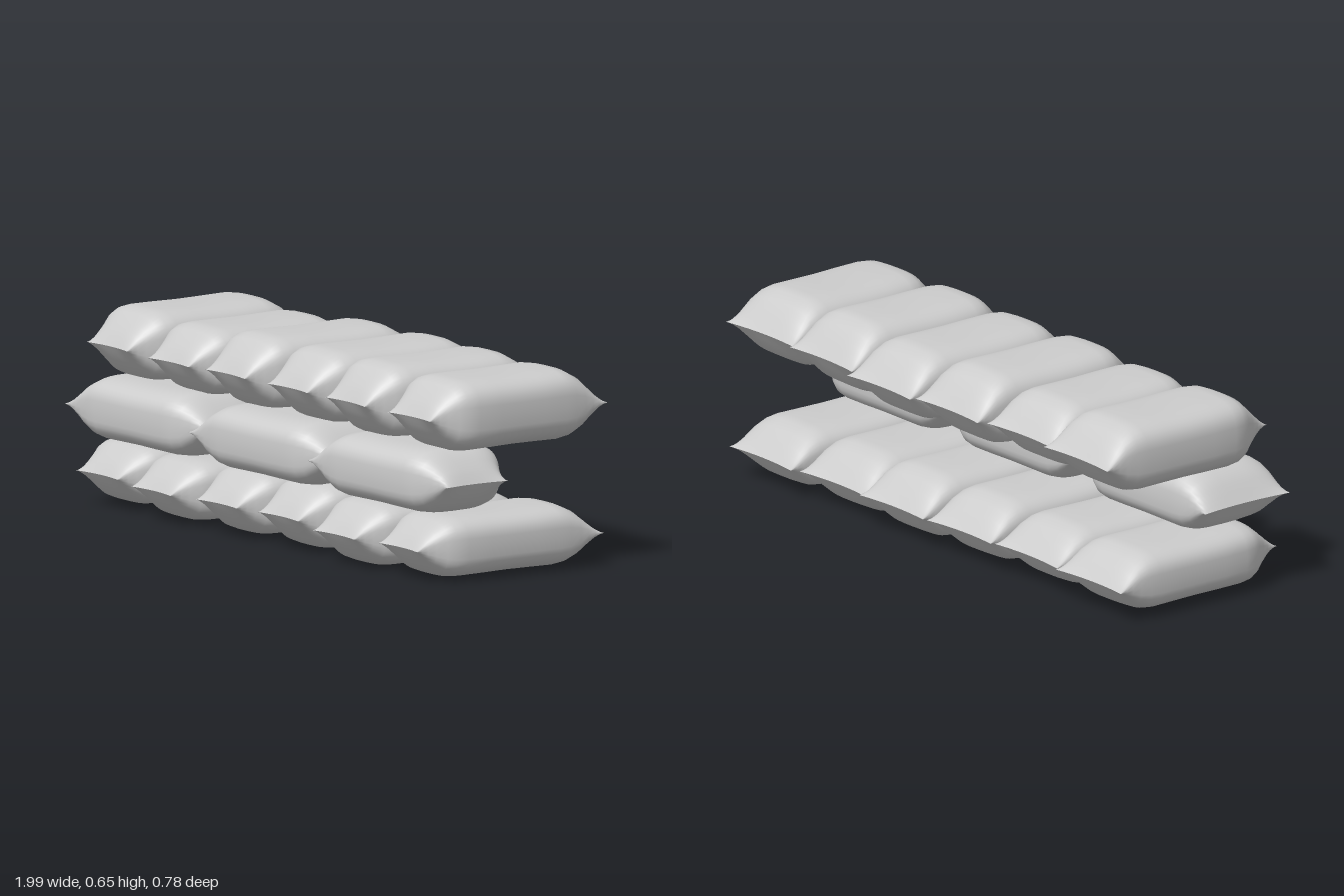
import * as THREE from 'three';

// Bag profile along its length: [position, half width factor, half height factor]
const STATIONS = [
  [0.345, 0.66, 0], [0.337, 0.65, 0.09], [0.322, 0.65, 0.27], [0.305, 0.68, 0.44], [0.28, 0.75, 0.65],
  [0.25, 0.86, 0.86], [0.22, 0.94, 0.97], [0.18, 0.985, 1], [0.09, 1, 0.99], [0, 1, 0.975],
  [-0.09, 1, 0.985], [-0.18, 0.995, 1], [-0.22, 0.98, 0.95], [-0.26, 0.96, 0.77], [-0.29, 0.945, 0.53],
  [-0.315, 0.94, 0.29], [-0.332, 0.95, 0.12], [-0.345, 0.97, 0],
];
const SIDES = 40;

// Filled sack: rounded-box sections pinched to a narrow seam at +z and a wide seam at -z
function bagGeometry(width, height, length) {
  const positions = [], index = [];
  for (const [s, fw, fh] of STATIONS) {
    const end = Math.max(0, Math.abs(s) - 0.25) / 0.095;
    const power = 2 / (3.3 - 0.8 * end);
    for (let j = 0; j < SIDES; j++) {
      const a = (j / SIDES) * Math.PI * 2;
      const c = Math.cos(a), n = Math.sin(a);
      const u = Math.sign(c) * Math.abs(c) ** power;
      const v = Math.sign(n) * Math.abs(n) ** power;
      // seam corners reach slightly further than the seam middle
      const flare = Math.sign(s) * end * 0.012 * (u * u - 0.7);
      positions.push(u * fw * width / 2, v * fh * height / 2, s * length / 0.69 + flare);
    }
  }
  for (let i = 0; i < STATIONS.length - 1; i++) {
    for (let j = 0; j < SIDES; j++) {
      const k = (j + 1) % SIDES;
      const p = i * SIDES + j, q = i * SIDES + k;
      index.push(p, p + SIDES, q + SIDES, p, q + SIDES, q);
    }
  }
  const g = new THREE.BufferGeometry();
  g.setAttribute('position', new THREE.Float32BufferAttribute(positions, 3));
  g.setIndex(index);
  g.computeVertexNormals();
  return g;
}

export function createModel() {
  const model = new THREE.Group();
  const cloth = new THREE.MeshStandardMaterial({ color: 0xcccccc });
  cloth.name = 'pale grey cloth';

  function addBag(row, name, [width, height, length], [x, y, z], yaw) {
    const bag = new THREE.Mesh(bagGeometry(width, height, length), cloth);
    bag.name = name;
    bag.position.set(x, y, z);
    bag.rotation.y = yaw;
    row.add(bag);
  }
  function addRow(name) {
    const row = new THREE.Group();
    row.name = name;
    model.add(row);
    return row;
  }

  // Crosswise rows: [x, width, bottom, top, back z, front z, yaw]
  const crosswise = {
    bottomRow: [
      [-0.81, 0.335, 0.015, 0.215, -0.325, 0.36, 0.01],
      [-0.482, 0.33, 0.01, 0.21, -0.305, 0.382, -0.015],
      [-0.157, 0.325, 0.01, 0.22, -0.325, 0.37, 0.02],
      [0.163, 0.33, 0.008, 0.224, -0.335, 0.355, 0],
      [0.492, 0.335, 0.002, 0.21, -0.31, 0.378, 0.01],
      [0.82, 0.325, 0.008, 0.208, -0.33, 0.358, -0.015],
    ],
    topRow: [
      [-0.795, 0.335, 0.412, 0.643, -0.36, 0.327, -0.01],
      [-0.474, 0.328, 0.412, 0.632, -0.335, 0.325, 0.01],
      [-0.158, 0.328, 0.408, 0.648, -0.368, 0.327, -0.01],
      [0.165, 0.328, 0.41, 0.645, -0.385, 0.32, 0],
      [0.492, 0.33, 0.408, 0.65, -0.35, 0.327, -0.015],
      [0.824, 0.34, 0.412, 0.645, -0.338, 0.325, 0.015],
    ],
  };
  for (const [rowName, bags] of Object.entries(crosswise)) {
    const row = addRow(rowName);
    bags.forEach(([x, w, y0, y1, z0, z1, yaw], i) => {
      addBag(row, 'crosswiseSandbag' + (i + 1), [w, y1 - y0, z1 - z0], [x, (y0 + y1) / 2, (z0 + z1) / 2], yaw);
    });
  }

  // Lengthwise row along the front
  const middle = addRow('middleRow');
  [[-0.995, -0.315], [-0.33, 0.355], [0.315, 0.99]].forEach(([x0, x1], i) => {
    addBag(middle, 'lengthwiseSandbag' + (i + 1), [0.362, 0.21, x1 - x0],
      [(x0 + x1) / 2, 0.318, 0.177], Math.PI / 2);
  });
  return model;
}
